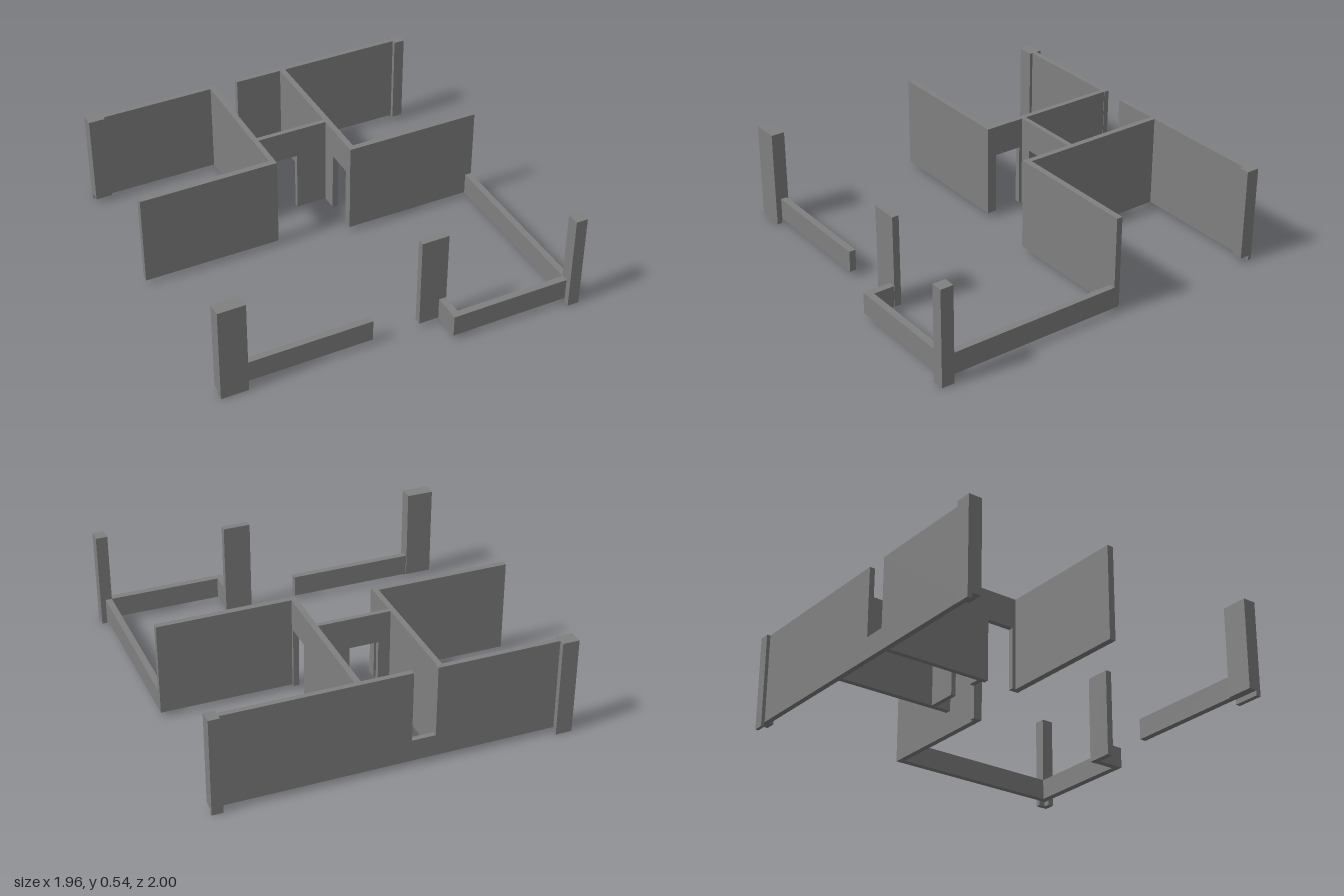
import * as THREE from 'three';

const BASE = 0.028, TOP = 0.542, SILL = 0.148, DOOR = 0.372;

export function createModel() {
  const model = new THREE.Group();
  const material = new THREE.MeshStandardMaterial({ color: 0x808080 });

  // Box given by its limits on each axis
  function block(name, [x0, x1], [z0, z1], y0 = BASE, y1 = TOP, parent = model) {
    const mesh = new THREE.Mesh(new THREE.BoxGeometry(x1 - x0, y1 - y0, z1 - z0), material);
    mesh.position.set((x0 + x1) / 2, (y0 + y1) / 2, (z0 + z1) / 2);
    mesh.name = name;
    parent.add(mesh);
  }

  // Full-height wall with one opening, which reaches the floor (door) or the top (notch)
  function openWall(name, axis, [a0, a1], [t0, t1], [o0, o1], kind) {
    const edge = kind === 'door' ? BASE : TOP;
    const stop = kind === 'door' ? DOOR : SILL;
    const far = kind === 'door' ? TOP : BASE;
    const outline = [[a0, edge], [o0, edge], [o0, stop], [o1, stop], [o1, edge], [a1, edge], [a1, far], [a0, far]];
    // walls along z are drawn mirrored, then turned a quarter
    const s = axis === 'z' ? -1 : 1;
    const shape = new THREE.Shape(outline.map(([a, y]) => new THREE.Vector2(a * s, y)));
    const geometry = new THREE.ExtrudeGeometry(shape, { depth: t1 - t0, bevelEnabled: false });
    geometry.translate(0, 0, t0);
    if (axis === 'z') geometry.rotateY(Math.PI / 2);
    const mesh = new THREE.Mesh(geometry, material);
    mesh.name = name;
    model.add(mesh);
  }

  // Post whose outer cladding strips run down to the ground
  function post(name, x, z, strips) {
    const group = new THREE.Group();
    group.name = name;
    block('postBody', x, z, BASE, TOP, group);
    strips.forEach(([sx, sz]) => block('postFoot', sx, sz, 0, BASE, group));
    model.add(group);
  }

  // Back wall with a window notch
  openWall('backWall', 'x', [-0.9, 0.93], [-0.97, -0.94], [-0.207, -0.078], 'notch');

  // Hall walls with doorways
  openWall('hallLeftWall', 'z', [-0.94, -0.133], [-0.24, -0.21], [-0.345, -0.188], 'door');
  openWall('hallRightWall', 'z', [-0.94, -0.067], [0.188, 0.22], [-0.273, -0.118], 'door');
  openWall('hallCrossWall', 'x', [-0.21, 0.188], [-0.39, -0.363], [-0.145, 0.015], 'door');

  // Solid room walls
  block('leftRoomWall', [-0.98, -0.21], [-0.168, -0.133]);
  block('rightRoomWall', [0.188, 0.948], [-0.1, -0.067]);

  // Low porch walls
  block('porchSideWall', [0.912, 0.948], [-0.067, 0.967], BASE, SILL);
  block('porchFrontWall', [0.248, 0.912], [0.928, 0.967], BASE, SILL);
  block('porchReturnWall', [0.248, 0.287], [0.81, 0.928], BASE, SILL);
  block('porchLeftWall', [-0.83, -0.13], [0.775, 0.812], BASE, SILL);
  block('entrancePillar', [0.137, 0.289], [0.772, 0.81]);

  // Corner posts
  post('backRightPost', [-0.963, -0.872], [-1, -0.923], [[[-0.963, -0.872], [-1, -0.975]]]);
  post('backLeftPost', [0.912, 0.972], [-0.99, -0.917], [[[0.912, 0.972], [-0.99, -0.972]]]);
  post('frontRightPost', [-0.98, -0.83], [0.767, 0.843], [[[-0.98, -0.83], [0.815, 0.843]]]);
  post('frontLeftPost', [0.912, 0.977], [0.928, 1], [
    [[0.912, 0.977], [0.967, 1]],
    [[0.948, 0.977], [0.928, 0.967]],
  ]);

  return model;
}
